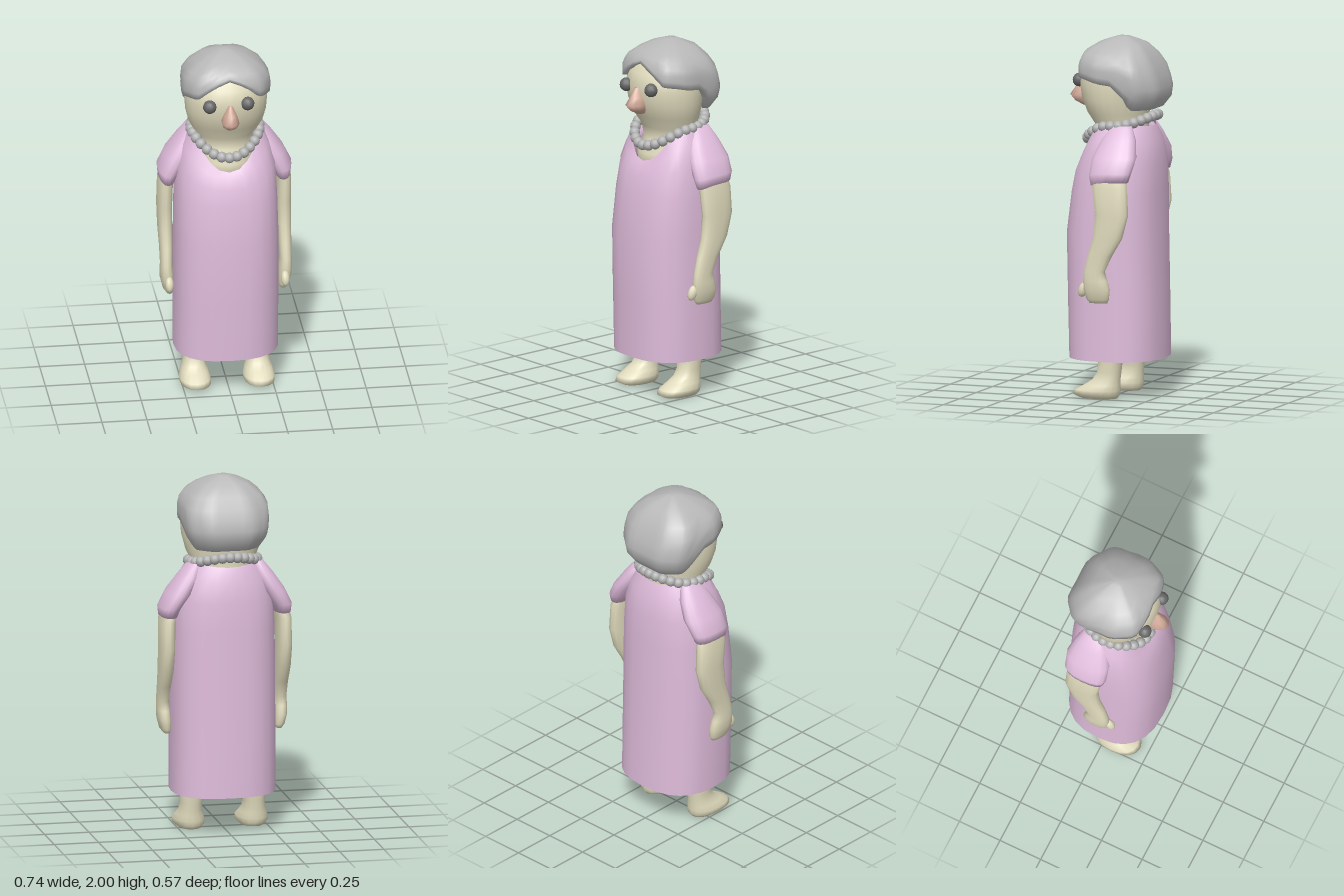
import * as THREE from 'three';

const COLORS = { skin: 0xe0dbbd, dress: 0xdfbcdb, hair: 0xb8b8b8, pearl: 0xb0b0b0, eye: 0x686868, nose: 0xd3ab9a };
const materials = {};
for (const key in COLORS) materials[key] = new THREE.MeshStandardMaterial({ color: COLORS[key] });
materials.dress.side = THREE.DoubleSide;
materials.hair.side = THREE.DoubleSide;

const spow = (v, p) => Math.sign(v) * Math.pow(Math.abs(v), p);

// Piecewise-linear lookup; rows are sorted by their first number
function lookup(rows, t) {
  let i = 0;
  while (i < rows.length - 2 && t > rows[i + 1][0]) i++;
  const a = rows[i], b = rows[i + 1];
  const k = THREE.MathUtils.clamp((t - a[0]) / (b[0] - a[0]), 0, 1);
  return a.map((v, j) => v + (b[j] - v) * k);
}

// Superellipse cross-section; y may be a number or [front, side, back]
function ring(y, cx, rx, zf, zb, n = 2) {
  return (a) => {
    const s = Math.sin(a), c = Math.cos(a);
    let h = y;
    if (Array.isArray(y)) h = y[1] + ((c > 0 ? y[0] : y[2]) - y[1]) * c * c;
    return [cx + rx * spow(s, 2 / n), h, (zf + zb) / 2 + (zf - zb) / 2 * spow(c, 2 / n)];
  };
}

// Skin a stack of rings listed from bottom to top
function loft(rings, seg, capBottom = true, capTop = true) {
  const pos = [], idx = [];
  for (const r of rings) for (let j = 0; j < seg; j++) pos.push(...r(j / seg * Math.PI * 2));
  for (let i = 0; i < rings.length - 1; i++) {
    for (let j = 0; j < seg; j++) {
      const a = i * seg + j, b = i * seg + (j + 1) % seg;
      idx.push(a, b, b + seg, a, b + seg, a + seg);
    }
  }
  const cap = (start, top) => {
    const centre = [0, 0, 0], c = pos.length / 3;
    for (let j = 0; j < seg; j++) for (let k = 0; k < 3; k++) centre[k] += pos[(start + j) * 3 + k] / seg;
    pos.push(...centre);
    for (let j = 0; j < seg; j++) {
      const a = start + j, b = start + (j + 1) % seg;
      if (top) idx.push(a, b, c); else idx.push(b, a, c);
    }
  };
  if (capBottom) cap(0, false);
  if (capTop) cap((rings.length - 1) * seg, true);
  const geo = new THREE.BufferGeometry();
  geo.setAttribute('position', new THREE.Float32BufferAttribute(pos, 3));
  geo.setIndex(idx);
  geo.computeVertexNormals();
  return geo;
}

export function createModel() {
  const model = new THREE.Group();
  const add = (name, geo, mat, parent = model) => {
    const mesh = new THREE.Mesh(geo, materials[mat]);
    mesh.name = name;
    parent.add(mesh);
    return mesh;
  };

  // Dress body, open at hem and neckline
  add('dress', loft([
    ring(0.22, 0, 0.29, 0.26, -0.27, 2.5),
    ring(0.55, 0, 0.29, 0.268, -0.265, 2.5),
    ring(0.92, 0, 0.29, 0.275, -0.258, 2.5),
    ring(1.15, 0, 0.285, 0.245, -0.256, 2.5),
    ring([1.24, 1.33, 1.31], 0, 0.275, 0.225, -0.253, 2.4),
    ring([1.30, 1.45, 1.43], 0, 0.24, 0.2, -0.235, 2.3),
    ring([1.33, 1.54, 1.51], 0, 0.19, 0.175, -0.2, 2.2),
  ], 24, false, false), 'dress');

  // Head, neck and upper chest
  add('head', loft([
    ring(1.25, 0, 0.15, 0.16, -0.15),
    ring(1.37, 0, 0.165, 0.165, -0.17),
    ring(1.44, 0, 0.155, 0.115, -0.17),
    ring(1.51, 0, 0.17, 0.125, -0.16),
    ring(1.58, 0, 0.205, 0.17, -0.165),
    ring(1.66, 0, 0.225, 0.202, -0.18),
    ring(1.75, 0, 0.232, 0.217, -0.19),
    ring(1.83, 0, 0.222, 0.198, -0.19),
    ring(1.9, 0, 0.175, 0.14, -0.14),
    ring(1.95, 0, 0.09, 0.07, -0.09),
  ], 24), 'skin');

  // Hair cap: rows are y, half width, front z, back z
  const hairShape = [
    [1.61, 0.19, 0.19, -0.23], [1.69, 0.235, 0.2, -0.29], [1.78, 0.245, 0.205, -0.265],
    [1.86, 0.24, 0.203, -0.235], [1.92, 0.195, 0.18, -0.19], [1.97, 0.12, 0.1, -0.14], [2.0, 0.03, 0.01, -0.06],
  ];
  // Lower edge: angle from the front, height
  const hairEdge = [[0, 1.89], [12, 1.855], [36, 1.785], [60, 1.775], [90, 1.75], [104, 1.64], [115, 1.61], [180, 1.61]];
  const hairRing = (t, inset = 1) => (a) => {
    const deg = THREE.MathUtils.radToDeg(a);
    const edge = lookup(hairEdge, deg > 180 ? 360 - deg : deg)[1];
    const y = edge + (2 - edge) * t;
    const [, rx, zf, zb] = lookup(hairShape, y);
    const k = inset * (1 + 0.015 * Math.cos(a * 9));
    return ring(y, 0, rx * k, zf * k, zb * k, 2.9)(a);
  };
  add('hair', loft([
    hairRing(0, 0.86), hairRing(0), hairRing(0.15), hairRing(0.3), hairRing(0.45),
    hairRing(0.6), hairRing(0.75), hairRing(0.9), hairRing(1),
  ], 40, false, true), 'hair');

  // Nose
  add('nose', loft([
    ring(1.605, 0, 0.02, 0.215, 0.15), ring(1.63, 0, 0.042, 0.262, 0.15),
    ring(1.66, 0, 0.05, 0.29, 0.15), ring(1.7, 0, 0.037, 0.262, 0.15), ring(1.755, 0, 0.013, 0.232, 0.17),
  ], 10), 'nose');

  // Eyes
  for (const [name, x, y] of [['leftEye', 0.098, 1.757], ['rightEye', -0.112, 1.747]]) {
    const eye = add(name, new THREE.SphereGeometry(0.038, 12, 8), 'eye');
    eye.position.set(x, y, 0.198);
  }

  // Bead necklace, low in front and high at the nape
  const necklace = new THREE.Group();
  necklace.name = 'necklace';
  model.add(necklace);
  const strand = ring([1.42, 1.52, 1.57], 0, 0.19, 0.175, -0.215);
  const bead = new THREE.SphereGeometry(0.03, 12, 8);
  for (let i = 0; i < 28; i++) add('bead', bead, 'pearl', necklace).position.set(...strand(i / 28 * Math.PI * 2));

  // Paired limbs
  for (const [side, s] of [['left', 1], ['right', -1]]) {
    const limb = (rows, n) => rows.map(([y, cx, rx, zf, zb]) => ring(y, s * cx, rx, zf, zb, n));

    // Sleeve with a turned-in cuff
    add(side + 'Sleeve', loft(limb([
      [[1.25, 1.27, 1.27], 0.32, 0.04, 0.025, -0.155],
      [[1.205, 1.23, 1.23], 0.32, 0.047, 0.045, -0.175],
      [[1.26, 1.28, 1.28], 0.312, 0.06, 0.058, -0.19],
      [1.36, 0.265, 0.068, 0.055, -0.2],
      [1.45, 0.21, 0.06, 0.02, -0.175],
      [1.525, 0.175, 0.035, -0.02, -0.14],
    ], 2.3), 16, false, true), 'dress');

    // Arm ending in a fist
    add(side + 'Arm', loft(limb([
      [0.552, 0.315, 0.018, 0.055, -0.05],
      [0.575, 0.32, 0.03, 0.07, -0.062],
      [0.63, 0.327, 0.037, 0.085, -0.07],
      [0.68, 0.33, 0.036, 0.085, -0.055],
      [0.73, 0.332, 0.033, 0.08, -0.042],
      [0.82, 0.33, 0.036, 0.058, -0.085],
      [0.92, 0.33, 0.04, 0.028, -0.145],
      [1.05, 0.33, 0.042, 0.017, -0.18],
      [1.2, 0.327, 0.042, 0.035, -0.172],
      [1.32, 0.3, 0.035, 0.01, -0.14],
    ], 2.4), 14), 'skin');

    // Thumb
    const thumb = add(side + 'Thumb', new THREE.SphereGeometry(1, 10, 8), 'skin');
    thumb.scale.set(0.024, 0.045, 0.028);
    thumb.position.set(s * 0.322, 0.625, 0.088);
    thumb.rotation.x = -0.4;

    // Leg and foot, running up inside the dress
    add(side + 'Leg', loft(limb([
      [0.005, 0.175, 0.065, 0.16, -0.055],
      [0.025, 0.177, 0.087, 0.203, -0.068],
      [0.05, 0.178, 0.088, 0.185, -0.07],
      [0.08, 0.178, 0.075, 0.13, -0.07],
      [0.11, 0.178, 0.064, 0.085, -0.071],
      [0.15, 0.176, 0.061, 0.06, -0.075],
      [0.21, 0.172, 0.069, 0.052, -0.08],
      [0.4, 0.165, 0.078, 0.06, -0.095],
      [0.75, 0.15, 0.085, 0.08, -0.1],
    ], 2.2), 16), 'skin');
  }
  return model;
}
